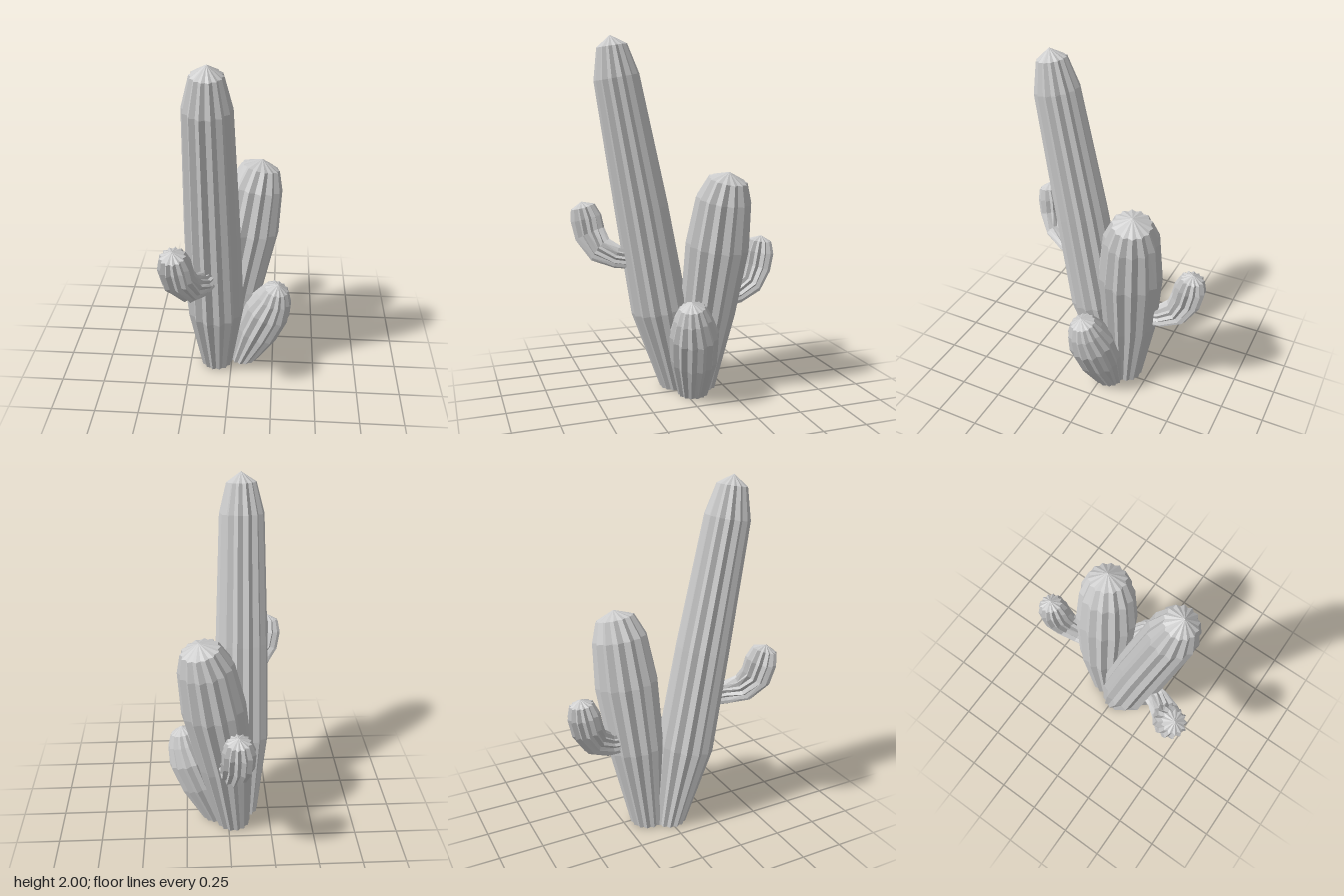
import * as THREE from 'three';

const material = new THREE.MeshStandardMaterial({ color: 0xcccccc, flatShading: true });

// Ribbed stem lofted through rings [x, y, z, radius]; the last entry is the cap's tip.
function stem(name, rings, { ribs = 14, groove = 0.88, flatBase = true } = {}) {
  const sides = ribs * 2;
  const centres = rings.map(([x, y, z]) => new THREE.Vector3(x, y, z));
  const positions = [];
  const index = [];
  const last = rings.length - 1;

  for (let i = 0; i < last; i++) {
    // Each ring stands square to the stem's direction, except a base on the ground
    const t = new THREE.Vector3(0, 1, 0);
    if (i > 0 || !flatBase) {
      t.subVectors(centres[Math.min(i + 1, last)], centres[Math.max(i - 1, 0)]).normalize();
    }
    const v = new THREE.Vector3().crossVectors(t, new THREE.Vector3(1, 0, 0)).normalize();
    const u = new THREE.Vector3().crossVectors(v, t);
    for (let j = 0; j < sides; j++) {
      const a = (j / sides) * Math.PI * 2;
      const r = rings[i][3] * (j % 2 ? groove : 1);
      const p = centres[i].clone()
        .addScaledVector(u, r * Math.cos(a))
        .addScaledVector(v, r * Math.sin(a));
      positions.push(p.x, p.y, p.z);
    }
  }
  const tip = positions.length / 3;
  positions.push(...centres[last].toArray(), ...centres[0].toArray());

  for (let j = 0; j < sides; j++) {
    const k = (j + 1) % sides;
    for (let i = 0; i < last - 1; i++) {
      const a = i * sides, b = a + sides;
      index.push(a + j, a + k, b + j, a + k, b + k, b + j);
    }
    const top = (last - 1) * sides;
    index.push(top + j, top + k, tip); // cap
    index.push(k, j, tip + 1);         // underside
  }

  const geometry = new THREE.BufferGeometry();
  geometry.setAttribute('position', new THREE.Float32BufferAttribute(positions, 3));
  geometry.setIndex(index);
  geometry.computeVertexNormals();
  const mesh = new THREE.Mesh(geometry, material);
  mesh.name = name;
  return mesh;
}

export function createModel() {
  const model = new THREE.Group();
  model.name = 'cactus';
  const armStyle = { ribs: 13, groove: 0.8, flatBase: false };

  model.add(
    // Tall column leaning forward
    stem('tallStem', [
      [-0.09, 0, 0.01, 0.093],
      [-0.086, 0.48, 0.11, 0.162],
      [-0.09, 1.06, 0.21, 0.15],
      [-0.092, 1.78, 0.343, 0.125],
      [-0.09, 1.945, 0.367, 0.083],
      [-0.088, 2.0, 0.378, 0],
    ]),
    // Medium column leaning back and to the left
    stem('middleStem', [
      [-0.03, 0, -0.11, 0.098],
      [0.02, 0.48, -0.15, 0.16],
      [0.085, 0.86, -0.178, 0.18],
      [0.125, 1.12, -0.197, 0.155],
      [0.152, 1.23, -0.21, 0.11],
      [0.16, 1.275, -0.215, 0],
    ]),
    // Short stem leaning to the left
    stem('shortStem', [
      [0.07, 0, -0.04, 0.085],
      [0.155, 0.24, -0.015, 0.132],
      [0.215, 0.4, 0.005, 0.137],
      [0.25, 0.5, 0.025, 0.105],
      [0.263, 0.565, 0.033, 0.073],
      [0.272, 0.6, 0.04, 0],
    ]),
    // Upturned arm on the front of the tall column
    stem('frontArm', [
      [-0.1, 0.765, 0.22, 0.055],
      [-0.14, 0.785, 0.34, 0.066],
      [-0.19, 0.82, 0.425, 0.08],
      [-0.24, 0.905, 0.474, 0.09],
      [-0.255, 0.995, 0.492, 0.09],
      [-0.26, 1.06, 0.508, 0.07],
      [-0.262, 1.09, 0.515, 0],
    ], armStyle),
    // Upturned arm on the back of the medium column
    stem('backArm', [
      [0.01, 0.53, -0.2, 0.055],
      [-0.005, 0.55, -0.33, 0.066],
      [-0.02, 0.6, -0.42, 0.08],
      [-0.035, 0.69, -0.468, 0.09],
      [-0.038, 0.78, -0.487, 0.09],
      [-0.036, 0.845, -0.496, 0.068],
      [-0.034, 0.875, -0.5, 0],
    ], armStyle),
  );
  return model;
}
